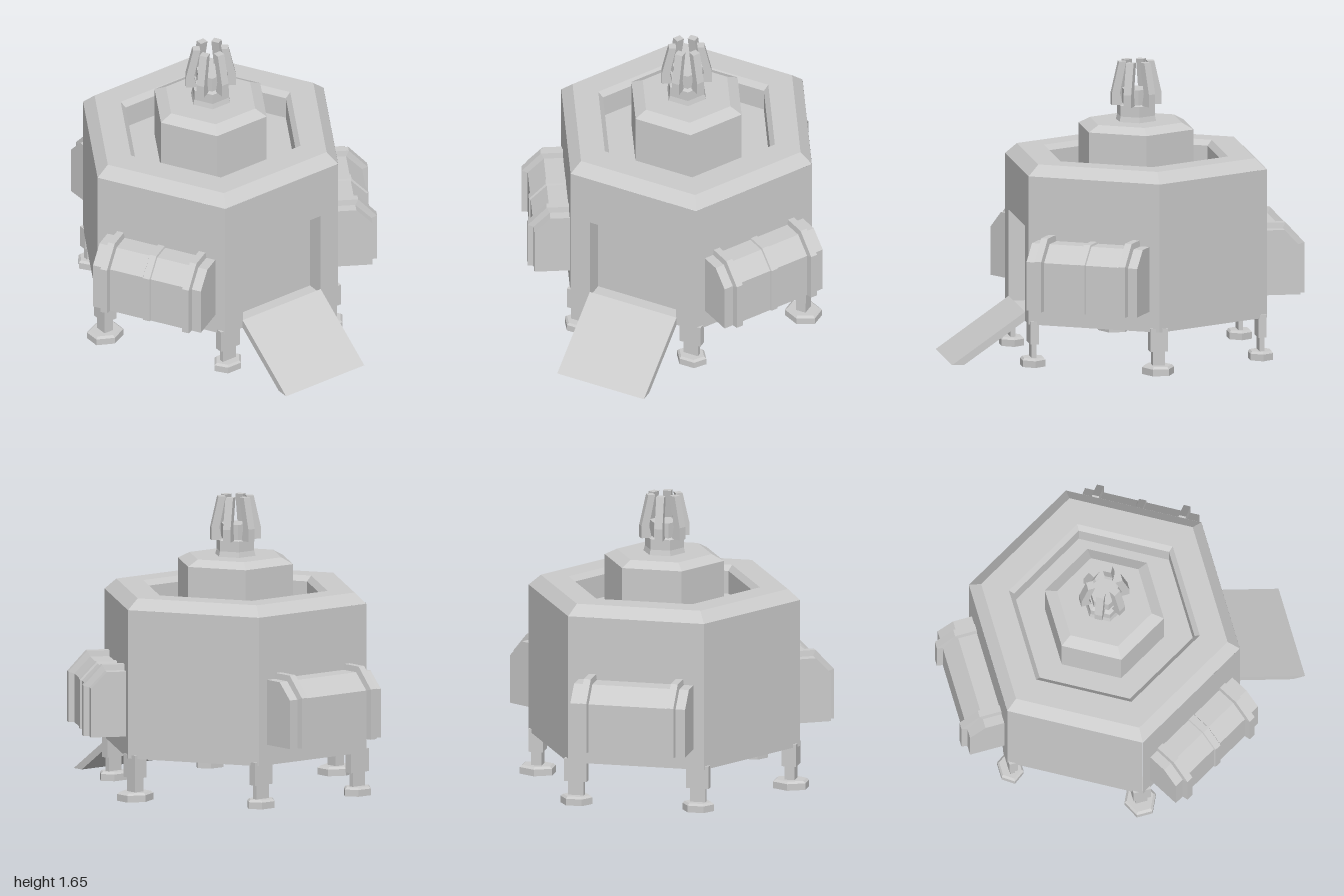
import * as THREE from 'three';

const mat = new THREE.MeshStandardMaterial({ color: 0xcccccc, flatShading: true, side: THREE.DoubleSide });
const APOTHEM = 0.676; // centre to flat side of the hexagonal hull
const V2 = (p) => new THREE.Vector2(p[0], p[1]);

function add(parent, name, geometry) {
  const mesh = new THREE.Mesh(geometry, mat);
  mesh.name = name;
  parent.add(mesh);
  return mesh;
}

// Six-sided turned form with corners on the x axis
function hexLathe(points) {
  return new THREE.LatheGeometry(points.map(V2), 6, Math.PI / 6);
}

// Side profile (u, y) given a width w; u runs along +z afterwards
function slab(points, w) {
  const g = new THREE.ExtrudeGeometry(new THREE.Shape(points.map(V2)), { depth: w, bevelEnabled: false });
  return g.rotateY(-Math.PI / 2).translate(w / 2, 0, 0);
}

function rectPath(x, y0, y1) {
  return new THREE.Path([[-x, y0], [-x, y1], [x, y1], [x, y0]].map(V2));
}

// Flat hull side, with an optional opening
function wall(hole) {
  const shape = new THREE.Shape([[-0.39, 0.24], [0.39, 0.24], [0.39, 1.08], [-0.39, 1.08]].map(V2));
  if (hole) shape.holes.push(hole);
  return new THREE.ShapeGeometry(shape).translate(0, 0, APOTHEM);
}

// Pod shell, open to the hull: sections along x, swelling outward at the ribs
function podShell(middleBand) {
  const right = [[0.225, 0], [0.23, 0.033], [0.27, 0.033], [0.275, 0], [0.33, 0]];
  const band = middleBand ? [[-0.024, 0], [-0.02, 0.01], [0.02, 0.01], [0.024, 0]] : [];
  const sections = [...right.map(([x, o]) => [-x, o]).reverse(), ...band, ...right];
  const profile = (o) => [
    [APOTHEM, 0.355], [0.875 + o, 0.355], [0.875 + o, 0.63 + o * 0.3],
    [0.785 + o * 0.5, 0.723 + o], [APOTHEM, 0.723 + o],
  ];
  const pos = [], idx = [];
  for (const [x, o] of sections) for (const [z, y] of profile(o)) pos.push(x, y, z);
  const last = sections.length - 1;
  for (let s = 0; s < last; s++) {
    for (let j = 0; j < 4; j++) {
      const a = s * 5 + j, b = a + 5;
      idx.push(a, b, a + 1, b, b + 1, a + 1);
    }
  }
  for (let j = 1; j < 4; j++) { // end plates
    const e = last * 5;
    idx.push(0, j, j + 1, e, e + j + 1, e + j);
  }
  const g = new THREE.BufferGeometry();
  g.setAttribute('position', new THREE.Float32BufferAttribute(pos, 3));
  g.setIndex(idx);
  g.computeVertexNormals();
  return g;
}

// Six-sided block filling a given width and depth; pointX puts corners on x
function hexBlock(w, d, y0, y1, pointX, topScale = 1) {
  const g = new THREE.CylinderGeometry(topScale, 1, y1 - y0, 6, 1, false, pointX ? Math.PI / 6 : 0);
  const c = Math.cos(Math.PI / 6);
  g.scale(w / 2 / (pointX ? 1 : c), 1, d / 2 / (pointX ? c : 1));
  return g.translate(0, (y0 + y1) / 2, 0);
}

function leg(x, z, size, pointX) {
  const g = new THREE.Group();
  g.name = 'leg';
  add(g, 'upperLeg', new THREE.BoxGeometry(size.upper[0], 0.13, size.upper[1]).translate(0, 0.195, 0));
  add(g, 'lowerLeg', new THREE.BoxGeometry(size.lower[0], 0.09, size.lower[1]).translate(0, 0.09, 0));
  add(g, 'footPad', hexBlock(...size.foot, 0, 0.038, pointX));
  add(g, 'footPadBevel', hexBlock(...size.foot, 0.038, 0.05, pointX, 0.85));
  g.position.set(x, 0, z);
  return g;
}

export function createModel() {
  const model = new THREE.Group();
  const body = new THREE.Group();
  body.name = 'station';
  body.position.z = -0.09;
  model.add(body);

  // Hull sides: doorway in front, pods on three sides
  for (let k = 0; k < 6; k++) {
    const side = new THREE.Group();
    side.name = 'hullSide';
    side.rotation.y = k * Math.PI / 3;
    body.add(side);
    const hasPod = k === 1 || k === 3 || k === 5;
    const hole = k === 0 ? rectPath(0.27, 0.26, 0.78) : hasPod ? rectPath(0.32, 0.36, 0.72) : null;
    add(side, 'hullWall', wall(hole));
    if (hasPod) add(side, 'sidePod', podShell(k !== 3));
    if (k === 0) {
      // Recessed doorway
      const frame = new THREE.Shape([[-0.27, 0.26], [0.27, 0.26], [0.27, 0.78], [-0.27, 0.78]].map(V2));
      frame.holes.push(rectPath(0.268, 0.262, 0.778));
      add(side, 'doorFrame', new THREE.ExtrudeGeometry(frame, { depth: 0.1, bevelEnabled: false })
        .translate(0, 0, APOTHEM - 0.1));
      add(side, 'door', new THREE.PlaneGeometry(0.54, 0.52).translate(0, 0.52, APOTHEM - 0.1));
    }
  }

  // Bevelled roof rim with a sunken deck
  add(body, 'roof', hexLathe([[0.78, 1.08], [0.71, 1.14], [0.55, 1.14], [0.52, 1.11], [0.52, 0.98], [0, 0.98]]));

  // Central tower and mast base
  add(body, 'tower', hexLathe([[0.343, 0.98], [0.343, 1.28], [0.273, 1.315], [0, 1.315]]));
  add(body, 'mastBase', hexLathe([[0.12, 1.315], [0.112, 1.345], [0.112, 1.405], [0.085, 1.41], [0.085, 1.495], [0, 1.495]]));

  // Ring of inward-leaning prongs
  const prong = slab([[0.08, 1.405], [0.14, 1.405], [0.14, 1.475], [0.1, 1.65], [0.06, 1.65], [0.095, 1.475]], 0.045);
  for (let i = 0; i < 6; i++) add(body, 'prong', prong).rotation.y = i * Math.PI / 3;

  // Entry ramp
  add(body, 'ramp', slab([[0.676, 0.29], [0.676, 0.24], [1.02, 0], [1.09, 0]], 0.54));

  // Legs under the six corners
  const sideSize = { upper: [0.084, 0.1], lower: [0.06, 0.07], foot: [0.187, 0.182] };
  const endSize = { upper: [0.13, 0.048], lower: [0.09, 0.028], foot: [0.182, 0.128] };
  for (const s of [-1, 1]) {
    body.add(leg(s * 0.728, 0, sideSize, false));
    for (const t of [-1, 1]) body.add(leg(s * 0.35, t * 0.646, endSize, true));
  }
  return model;
}
